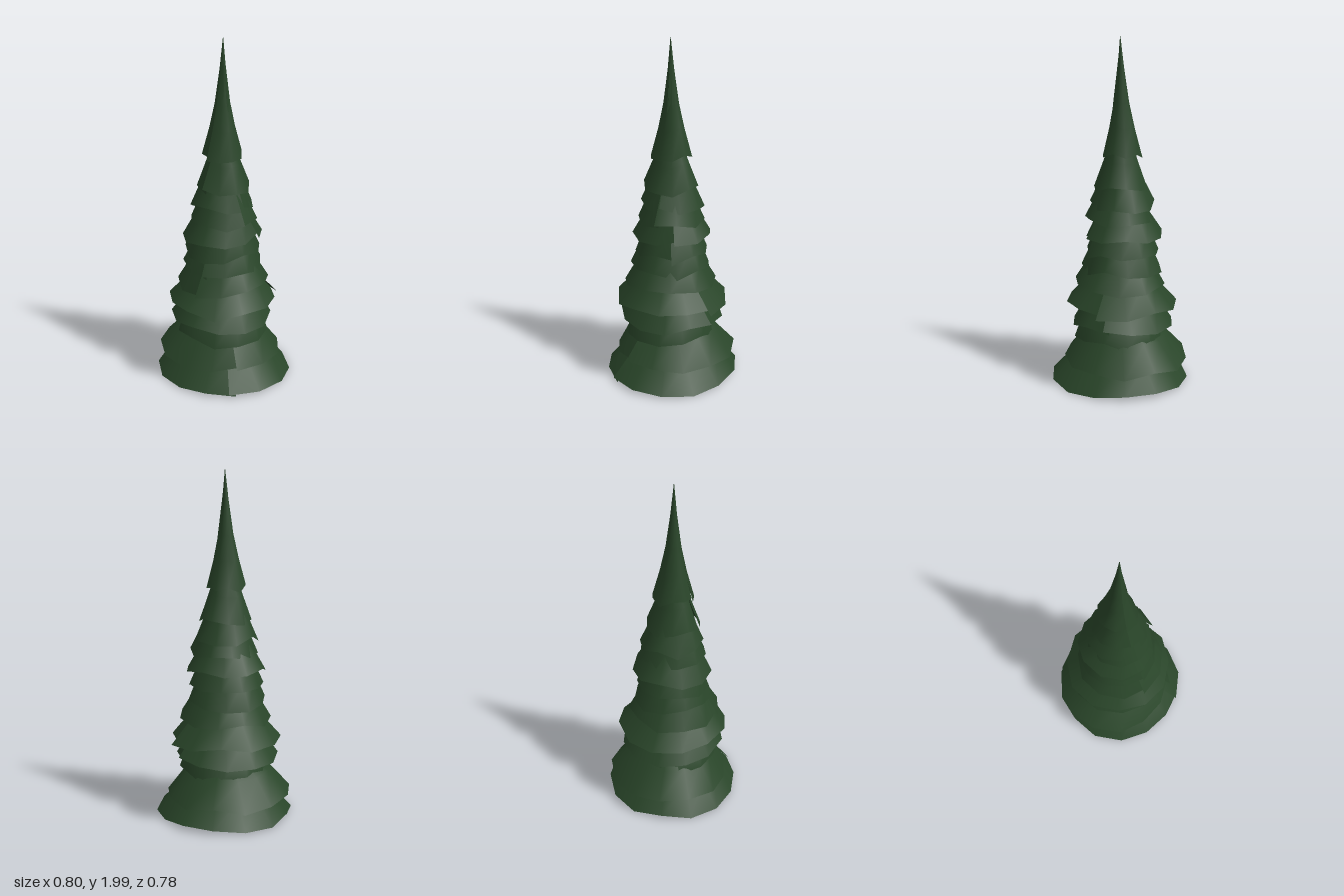
import * as THREE from 'three';

// Small seeded generator, -1..1
function seeded(seed) {
  let s = seed;
  return () => {
    s = (s * 16807) % 2147483647;
    return (s / 2147483647) * 2 - 1;
  };
}

const needles = new THREE.MeshStandardMaterial({ color: 0x294529, side: THREE.DoubleSide });
needles.name = 'needle green';

// One skirt of branches: a flared strip wrapped round the trunk, whose ends
// overlap at a seam. Profile rows are [radius, height], from rim to top.
function skirt(profile, sides, seam, spiral, offsetX, rand) {
  const positions = [], index = [];
  const rows = profile.length;
  const sweep = Math.PI * 2 + 0.1;
  for (let i = 0; i <= sides; i++) {
    const t = i / sides;
    const angle = seam - t * sweep;
    const wobble = rand();
    const droop = rand();
    profile.forEach(([r, y], j) => {
      const fade = 1 - j / (rows - 1);
      const radius = r * (1 + (spiral * (0.5 - t) + 0.03 * wobble) * fade);
      const lift = 0.024 * droop * Math.min(1, y / 0.1 + 0.5) * fade * fade;
      positions.push(
        Math.cos(angle) * radius + offsetX * fade,
        Math.max(0, y + lift),
        Math.sin(angle) * radius
      );
    });
  }
  for (let i = 0; i < sides; i++) {
    for (let j = 0; j < rows - 1; j++) {
      const a = i * rows + j, b = a + rows;
      index.push(a, b, b + 1, a, b + 1, a + 1);
    }
  }
  const geometry = new THREE.BufferGeometry();
  geometry.setAttribute('position', new THREE.Float32BufferAttribute(positions, 3));
  geometry.setIndex(index);
  geometry.computeVertexNormals();
  return geometry;
}

export function createModel() {
  const tree = new THREE.Group();
  tree.name = 'conifer';
  const rand = seeded(4711);

  // Trunk, hidden by the skirts
  const trunk = new THREE.Mesh(new THREE.CylinderGeometry(0.008, 0.026, 1.6, 8), needles);
  trunk.name = 'trunk';
  trunk.position.y = 0.81;
  tree.add(trunk);

  // Rim height, rim radius, shoulder radius, sides, seam angle (degrees), sideways shift
  const tiers = [
    [0.018, 0.395, 0.270, 14, 32, 0],
    [0.135, 0.358, 0.245, 13, 21, -0.04],
    [0.265, 0.262, 0.215, 12, 140, 0],
    [0.365, 0.302, 0.205, 12, -75, -0.005],
    [0.465, 0.322, 0.200, 12, -70, 0],
    [0.580, 0.268, 0.185, 11, 73, 0],
    [0.680, 0.232, 0.170, 11, 65, -0.015],
    [0.770, 0.212, 0.155, 11, -27, -0.01],
    [0.870, 0.230, 0.148, 11, -30, -0.02],
    [0.965, 0.195, 0.132, 10, 0, 0],
    [1.055, 0.182, 0.120, 10, -5, -0.018],
    [1.160, 0.155, 0.102, 10, 80, -0.008]
  ];
  tiers.forEach(([y, r, shoulder, sides, seam, shift], k) => {
    const height = 0.31 + 0.007 * k;   // upper skirts are steeper
    const profile = [
      [r, y],
      [shoulder, y + 0.14],
      [shoulder * 0.5, y + height * 0.73],
      [0.02, y + height]
    ];
    const spiral = k === 0 ? 0.05 : 0.08;
    const mesh = new THREE.Mesh(
      skirt(profile, sides, THREE.MathUtils.degToRad(seam), spiral, shift, rand), needles);
    mesh.name = `branchSkirt${k + 1}`;
    tree.add(mesh);
  });

  // Crown: a tall skirt that narrows to the tip
  const crownProfile = [[0.116, 1.345], [0.074, 1.5], [0.044, 1.64], [0.018, 1.83], [0.001, 2]];
  const crown = new THREE.Mesh(skirt(crownProfile, 10, 1.4, 0.08, -0.014, rand), needles);
  crown.name = 'crown';
  tree.add(crown);

  // Small sheath round the leader shoot
  const sheath = new THREE.Mesh(
    skirt([[0.05, 1.53], [0.036, 1.66], [0.014, 1.85], [0.001, 1.97]], 8, 0, 0.1, 0, rand), needles);
  sheath.name = 'leaderSheath';
  tree.add(sheath);

  return tree;
}
